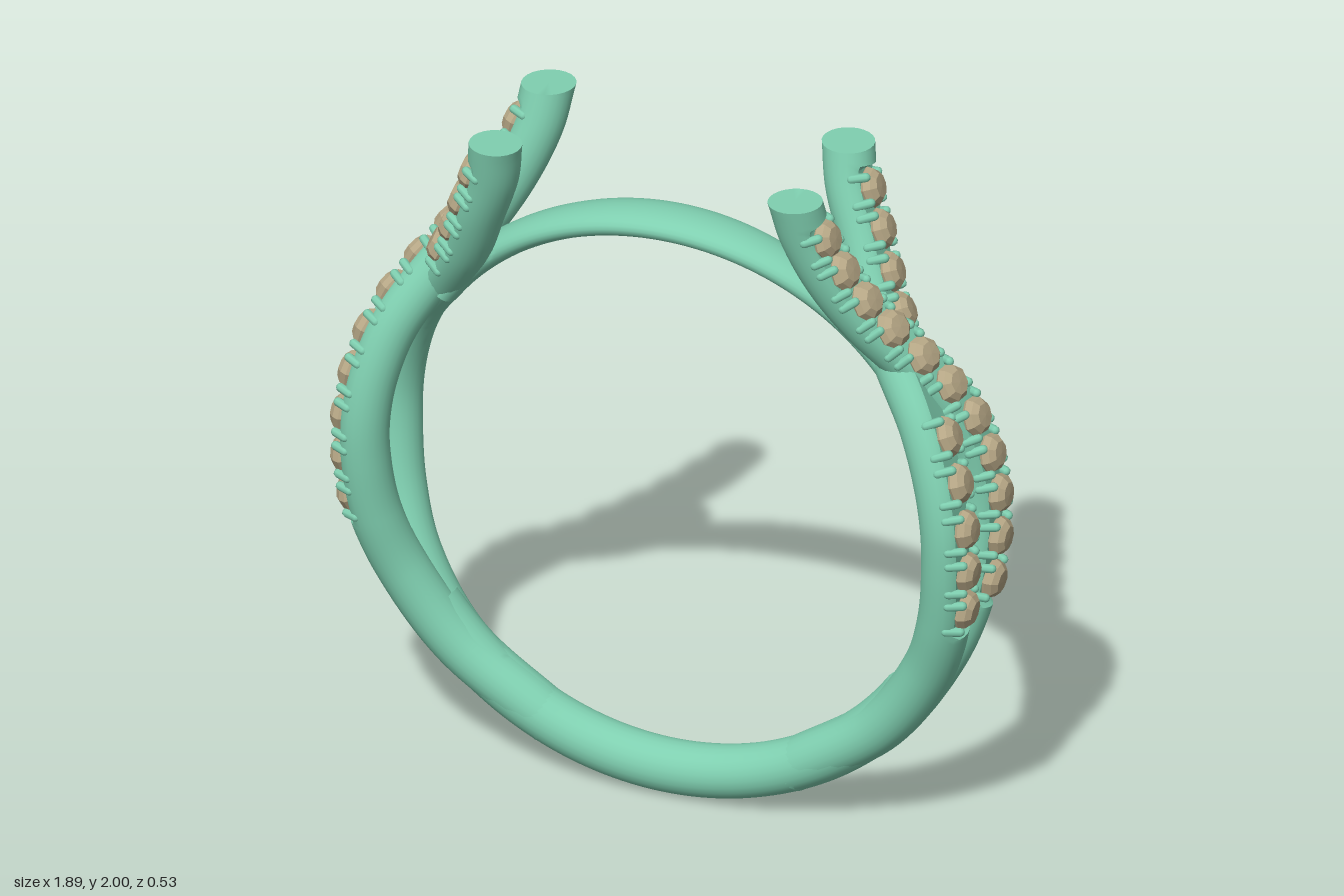
import * as THREE from 'three';
import { toCreasedNormals } from 'three/addons/utils/BufferGeometryUtils.js';

const metal = new THREE.MeshStandardMaterial({ color: 0x7fcfb0 });
const stone = new THREE.MeshStandardMaterial({ color: 0xb5a685, flatShading: true });
const CENTRE_Y = 0.933, TOP_Y = 2, STRAND_R = 0.073;
const V = (x, y, z) => new THREE.Vector3(x, y, z);

// Frame on a curve: N faces outward, T follows the curve, B lies across
function frameAt(curve, u, outward) {
  const P = curve.getPointAt(u), T = curve.getTangentAt(u);
  const N = outward(P);
  N.addScaledVector(T, -N.dot(T)).normalize();
  return { P, T, N, B: T.clone().cross(N) };
}

// Sweep a cross-section section(u, angle) -> [n, b] along a curve, with capped ends
function sweep(curve, steps, outward, section, sides = 24) {
  const pos = [], index = [];
  for (let i = 0; i <= steps; i++) {
    const { P, T, N, B } = frameAt(curve, i / steps, outward);
    for (let j = 0; j < sides; j++) {
      const [n, b] = section(i / steps, (j / sides) * Math.PI * 2);
      const p = P.clone().addScaledVector(N, n).addScaledVector(B, b);
      // level cut at the top
      if (p.y > TOP_Y || (i === steps && P.y > TOP_Y - 0.01)) p.addScaledVector(T, (TOP_Y - p.y) / T.y);
      pos.push(p.x, p.y, p.z);
      if (i < steps) {
        const a = i * sides + j, b2 = i * sides + (j + 1) % sides;
        index.push(a, b2, a + sides, b2, b2 + sides, a + sides);
      }
    }
  }
  const start = curve.getPointAt(0), end = curve.getPointAt(1);
  const c = pos.length / 3, last = steps * sides;
  pos.push(start.x, start.y, start.z, end.x, end.y, end.z);
  for (let j = 0; j < sides; j++) {
    const k = (j + 1) % sides;
    index.push(c, k, j, c + 1, last + j, last + k);
  }
  const g = new THREE.BufferGeometry();
  g.setAttribute('position', new THREE.Float32BufferAttribute(pos, 3));
  g.setIndex(index);
  return toCreasedNormals(g, 0.6);
}

// Arc around the ring axis; angles measured from +x
function ringArc(radius, from, to) {
  const pts = [];
  for (let i = 0; i <= 32; i++) {
    const a = THREE.MathUtils.degToRad(from + (to - from) * i / 32);
    pts.push(V(radius * Math.cos(a), CENTRE_Y + radius * Math.sin(a), 0));
  }
  return new THREE.CatmullRomCurve3(pts);
}

function named(geometry, material, name) {
  const m = new THREE.Mesh(geometry, material);
  m.name = name;
  return m;
}

const gemGeo = new THREE.LatheGeometry(
  [[0, -0.04], [0.052, -0.006], [0.058, 0.004], [0.05, 0.022], [0.034, 0.036], [0, 0.038]]
    .map(([x, y]) => new THREE.Vector2(x, y)), 8);
const prongGeo = new THREE.CapsuleGeometry(0.013, 0.04, 3, 8);

// Strand with a flattened seat, stones and prongs; rows are [bottom y, top y, count]
function buildStrand(name, points, rows) {
  const group = new THREE.Group();
  group.name = name;
  const curve = new THREE.CatmullRomCurve3(points.map(p => V(...p)));
  curve.arcLengthDivisions = 600;
  const outward = () => V(1, 0, 0);
  const uAt = y => {
    let lo = 0, hi = 1;
    for (let i = 0; i < 30; i++) {
      const mid = (lo + hi) / 2;
      if (curve.getPointAt(mid).y < y) lo = mid; else hi = mid;
    }
    return lo;
  };
  const seatFrom = uAt(0.735), seatTo = uAt(1.94);
  group.add(named(sweep(curve, 180, outward, (u, a) => {
    const n = STRAND_R * Math.cos(a);
    const cut = u > seatFrom && u < seatTo ? 0.046 : 1;
    return [Math.min(n, cut), STRAND_R * Math.sin(a)];
  }), metal, 'strandTube'));

  // Place a part in the local frame: along T, out along N, across B
  const place = (mesh, u, n, b, lean = 0) => {
    const f = frameAt(curve, u, outward);
    mesh.quaternion.setFromRotationMatrix(new THREE.Matrix4().makeBasis(f.T, f.N, f.B));
    mesh.rotateX(lean);
    mesh.position.copy(f.P).addScaledVector(f.N, n).addScaledVector(f.B, b);
    group.add(mesh);
  };
  for (const [y0, y1, count] of rows) {
    const u0 = uAt(y0), u1 = uAt(y1), step = (u1 - u0) / (count - 1);
    for (let i = 0; i < count; i++) {
      const u = u0 + step * i;
      const gem = named(gemGeo, stone, 'gem');
      place(gem, u, 0.05, 0);
      // four prongs around each stone
      for (const s of [-1, 1]) for (const e of [-1, 1]) {
        place(named(prongGeo, metal, 'prong'), u + e * step * 0.34, 0.045, s * 0.053, -s * 0.5);
      }
    }
  }
  return group;
}

// Two crossing strands of one shoulder
function buildShoulder(name) {
  const shoulder = new THREE.Group();
  shoulder.name = name;
  const lower = s => [
    [0.35, 0.15, 0], [0.62, 0.34, -0.012 * s], [0.77, 0.555, -0.045 * s],
    [0.835, 0.74, -0.088 * s], [0.857, 0.92, -0.115 * s], [0.855, 1.05, -0.12 * s],
  ];
  const upper = s => [[0.515, 1.75, 0.122 * s], [0.46, 1.89, 0.162 * s], [0.44, 2, 0.19 * s]];
  shoulder.add(buildStrand('outerStrand', [
    ...lower(1), [0.835, 1.18, -0.105], [0.79, 1.32, -0.068], [0.7, 1.47, 0], [0.595, 1.61, 0.068], ...upper(1),
  ], [[0.8, 1.87, 11]]));
  shoulder.add(buildStrand('innerStrand', [
    ...lower(-1), [0.828, 1.18, 0.105], [0.77, 1.32, 0.068], [0.665, 1.47, 0], [0.575, 1.61, -0.068], ...upper(-1),
  ], [[0.8, 1.28, 5], [1.56, 1.87, 4]]));
  return shoulder;
}

export function createModel() {
  const model = new THREE.Group();
  model.name = 'ring';
  const radial = p => V(p.x, p.y - CENTRE_Y, 0);

  // Bottom shank
  model.add(named(sweep(ringArc(0.853, 215, 325), 80, radial,
    (u, a) => [0.075 * Math.cos(a), 0.075 * Math.sin(a)]), metal, 'shank'));

  // Thin upper bridge, wider in the middle
  model.add(named(sweep(ringArc(0.82, 36, 144), 80, radial, (u, a) => {
    const half = 0.058 + 0.027 * Math.sin(Math.PI * u) ** 2;
    return [0.041 * Math.cos(a), half * Math.sin(a)];
  }), metal, 'bridge'));

  // Shoulders, the second turned half way round
  const left = buildShoulder('leftShoulder');
  const right = buildShoulder('rightShoulder');
  right.rotation.y = Math.PI;
  model.add(left, right);
  return model;
}
